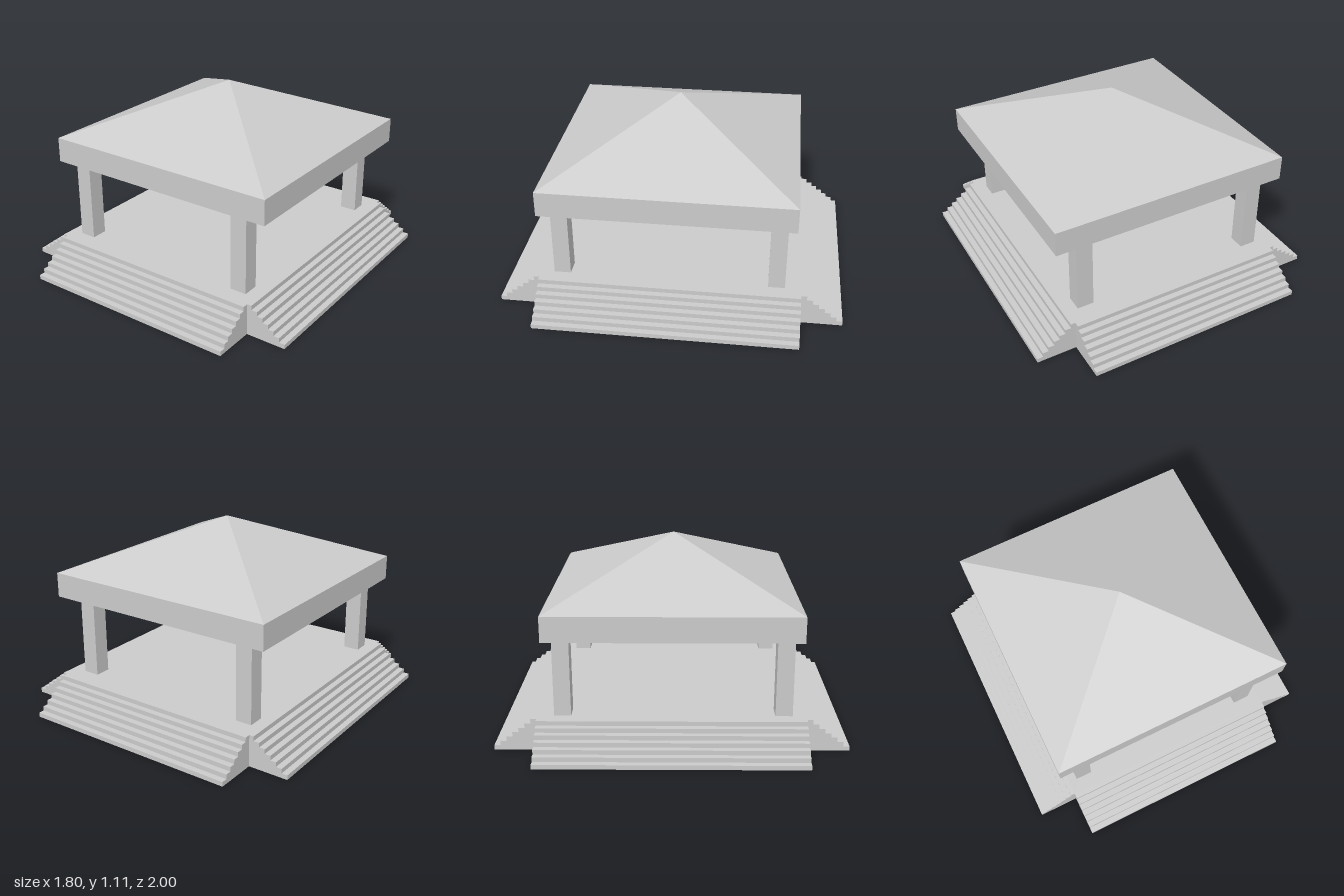
import * as THREE from 'three';

const material = new THREE.MeshStandardMaterial({ color: 0xcccccc, flatShading: true });
const STEPS = 7, BASE_H = 0.187, TREAD = 0.035;
const CORE_X = 0.663, CORE_Z = 0.757;

function addMesh(parent, name, geometry) {
  const mesh = new THREE.Mesh(geometry, material);
  mesh.name = name;
  parent.add(mesh);
  return mesh;
}

function addBox(parent, name, [x0, x1], [y0, y1], [z0, z1]) {
  const mesh = addMesh(parent, name, new THREE.BoxGeometry(x1 - x0, y1 - y0, z1 - z0));
  mesh.position.set((x0 + x1) / 2, (y0 + y1) / 2, (z0 + z1) / 2);
}

// Solid flight of stairs: profile runs from inner to outer, extruded along its width
function stairGeometry(inner, outer, width) {
  const rise = BASE_H / STEPS;
  const profile = new THREE.Shape();
  profile.moveTo(inner, 0);
  profile.lineTo(outer, 0);
  for (let i = 0; i < STEPS; i++) {
    const x = outer - i * TREAD;
    profile.lineTo(x, (i + 1) * rise);
    if (i < STEPS - 1) profile.lineTo(x - TREAD, (i + 1) * rise);
  }
  profile.lineTo(inner, BASE_H);
  const geometry = new THREE.ExtrudeGeometry(profile, { depth: width, bevelEnabled: false });
  return geometry.translate(0, 0, -width / 2);
}

export function createModel() {
  const model = new THREE.Group();
  model.name = 'pavilion';

  // Platform core
  addBox(model, 'platform', [-CORE_X, CORE_X], [0, BASE_H], [-CORE_Z, CORE_Z]);

  // Stairs on all four sides
  const sideStair = stairGeometry(CORE_X, 0.9, CORE_Z * 2);
  const endStair = stairGeometry(CORE_Z, 1, CORE_X * 2);
  addMesh(model, 'leftStairs', sideStair);
  addMesh(model, 'rightStairs', sideStair).rotation.y = Math.PI;
  addMesh(model, 'frontStairs', endStair).rotation.y = -Math.PI / 2;
  addMesh(model, 'backStairs', endStair).rotation.y = Math.PI / 2;

  // Four square columns
  for (const [side, xs] of [['Left', [0.501, 0.6]], ['Right', [-0.612, -0.514]]]) {
    for (const [end, zs] of [['front', [0.583, 0.68]], ['back', [-0.663, -0.567]]]) {
      addBox(model, `${end}${side}Column`, xs, [BASE_H, 0.655], zs);
    }
  }

  // Roof slab and pyramid, both slightly off centre
  const x0 = -0.711, x1 = 0.737, z0 = -0.709, z1 = 0.72;
  addBox(model, 'roofSlab', [x0, x1], [0.655, 0.802], [z0, z1]);
  const pyramid = new THREE.ConeGeometry(Math.SQRT1_2, 1, 4, 1, true).rotateY(Math.PI / 4);
  const roof = addMesh(model, 'roof', pyramid);
  roof.scale.set(x1 - x0, 0.306, z1 - z0);
  roof.position.set((x0 + x1) / 2, 0.802 + 0.153, (z0 + z1) / 2);

  return model;
}
